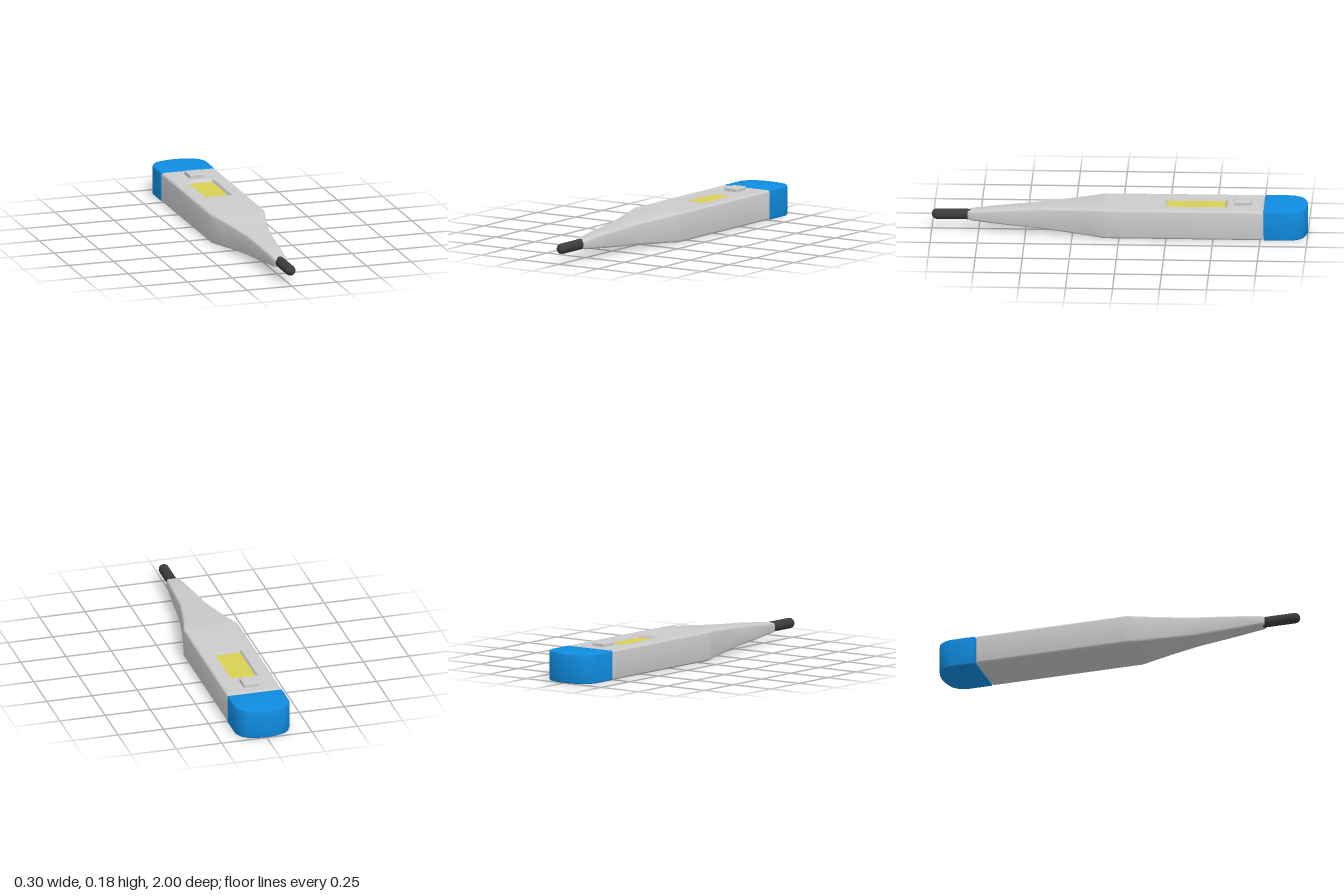
import * as THREE from 'three';
import { toCreasedNormals } from 'three/addons/utils/BufferGeometryUtils.js';
import { RoundedBoxGeometry } from 'three/addons/geometries/RoundedBoxGeometry.js';

const MID = 0.08; // height of the long axis
const R = 0.012; // corner radius of the body

const material = (color) => new THREE.MeshStandardMaterial({ color });

function addPart(group, name, geometry, mat) {
  const mesh = new THREE.Mesh(geometry, mat);
  mesh.name = name;
  group.add(mesh);
  return mesh;
}

// Skin a list of closed rings; skip(station, side) leaves a quad open
function loft(rings, skip = () => false) {
  const pos = [];
  const n = rings[0].length;
  for (let s = 0; s < rings.length - 1; s++) {
    for (let i = 0; i < n; i++) {
      if (skip(s, i)) continue;
      const j = (i + 1) % n;
      const [a, b, c, d] = [rings[s][i], rings[s][j], rings[s + 1][j], rings[s + 1][i]];
      for (const p of [a, b, c, a, c, d]) pos.push(p.x, p.y, p.z);
    }
  }
  const g = new THREE.BufferGeometry();
  g.setAttribute('position', new THREE.Float32BufferAttribute(pos, 3));
  return toCreasedNormals(g, 0.6);
}

// Rounded rectangle across z; its closing side is the flat top
function section(z, hw, hh, r = R) {
  const pts = [];
  [[-1, 1], [-1, -1], [1, -1], [1, 1]].forEach(([sx, sy], q) => {
    for (let k = 0; k <= 3; k++) {
      const a = Math.PI / 2 * (q + 1 + k / 3);
      pts.push(new THREE.Vector3(sx * (hw - r) + r * Math.cos(a), MID + sy * (hh - r) + r * Math.sin(a), z));
    }
  });
  return pts;
}

// Rectangle lying flat at height y, counter-clockwise from above
const flatRing = (hw, z0, z1, y) =>
  [[-hw, z1], [hw, z1], [hw, z0], [-hw, z0]].map(([x, z]) => new THREE.Vector3(x, y, z));

export function createModel() {
  const group = new THREE.Group();
  group.name = 'thermometer';
  const grey = material(0xcccccc);
  const dark = material(0x3c3c3c);
  const blue = material(0x0f8ce0);
  const yellow = material(0xd8d050);

  // Body: straight handle and tapered neck, closed at both ends
  const backZ = -0.757, frontZ = 0.07;
  const stations = [
    [-0.765, 0, 0, 0], [-0.765, 0.143, 0.073], [backZ, 0.15, 0.08], [frontZ, 0.15, 0.08],
    [0.08, 0.149, 0.08], [0.16, 0.128, 0.074], [0.25, 0.106, 0.068], [0.35, 0.085, 0.061],
    [0.44, 0.069, 0.055], [0.62, 0.053, 0.042], [0.79, 0.037, 0.027],
    [0.805, 0.033, 0.023], [0.81, 0.028, 0.019], [0.81, 0, 0, 0],
  ];
  const rings = stations.map((s) => section(...s));
  const topSide = rings[0].length - 1;
  addPart(group, 'body', loft(rings, (s, i) => s === 2 && i === topSide), grey);

  // Top face of the handle with the display opening
  const w = 0.15 - R;
  const hole = { hw: 0.075, z0: -0.573, z1: -0.242 };
  const plate = new THREE.Shape([
    new THREE.Vector2(-w, -frontZ), new THREE.Vector2(w, -frontZ),
    new THREE.Vector2(w, -backZ), new THREE.Vector2(-w, -backZ),
  ]);
  plate.holes.push(new THREE.Path(
    flatRing(hole.hw, hole.z0, hole.z1, 0).reverse().map((p) => new THREE.Vector2(p.x, -p.z))));
  const plateGeo = new THREE.ShapeGeometry(plate).rotateX(-Math.PI / 2).translate(0, 0.16, 0);
  addPart(group, 'topFace', plateGeo, grey);

  // Sloped display frame and the screen at its foot
  const floor = { hw: 0.068, z0: -0.56, z1: -0.25, y: 0.146 };
  addPart(group, 'displayFrame', loft([
    flatRing(hole.hw, hole.z0, hole.z1, 0.16),
    flatRing(floor.hw, floor.z0, floor.z1, floor.y),
  ]), grey);
  const screen = new THREE.PlaneGeometry(floor.hw * 2, floor.z1 - floor.z0).rotateX(-Math.PI / 2);
  addPart(group, 'screen', screen, yellow)
    .position.set(0, floor.y, (floor.z0 + floor.z1) / 2);

  // Power button
  addPart(group, 'button', new RoundedBoxGeometry(0.082, 0.04, 0.092, 3, 0.007), grey)
    .position.set(0, 0.16, -0.655);

  // End cap: rounded outline extruded upwards with a small bevel
  const b = 0.007;
  const cap = new THREE.Shape();
  cap.moveTo(-0.15 + b, 0.768 + b);
  cap.lineTo(0.15 - b, 0.768 + b);
  cap.lineTo(0.15 - b, 0.908);
  cap.quadraticCurveTo(0.13, 0.955, 0.1, 0.972);
  cap.quadraticCurveTo(0.05, 1 - b, 0, 1 - b);
  cap.quadraticCurveTo(-0.05, 1 - b, -0.1, 0.972);
  cap.quadraticCurveTo(-0.13, 0.955, -0.15 + b, 0.908);
  cap.closePath();
  const capGeo = new THREE.ExtrudeGeometry(cap, {
    depth: 0.16 - 2 * b, bevelSize: b, bevelThickness: b, bevelSegments: 3, curveSegments: 8,
  }).rotateX(-Math.PI / 2).translate(0, b, 0);
  addPart(group, 'endCap', toCreasedNormals(capGeo, 0.6), blue);

  // Probe with a domed tip
  const r = 0.028;
  const profile = [new THREE.Vector2(r, 0.795)];
  for (let k = 0; k <= 8; k++) {
    const a = Math.PI / 2 * k / 8;
    profile.push(new THREE.Vector2(k === 8 ? 0 : r * Math.cos(a), 1 - r + r * Math.sin(a)));
  }
  const probe = new THREE.LatheGeometry(profile, 32).rotateX(Math.PI / 2).translate(0, MID, 0);
  addPart(group, 'probe', probe, dark);

  return group;
}
